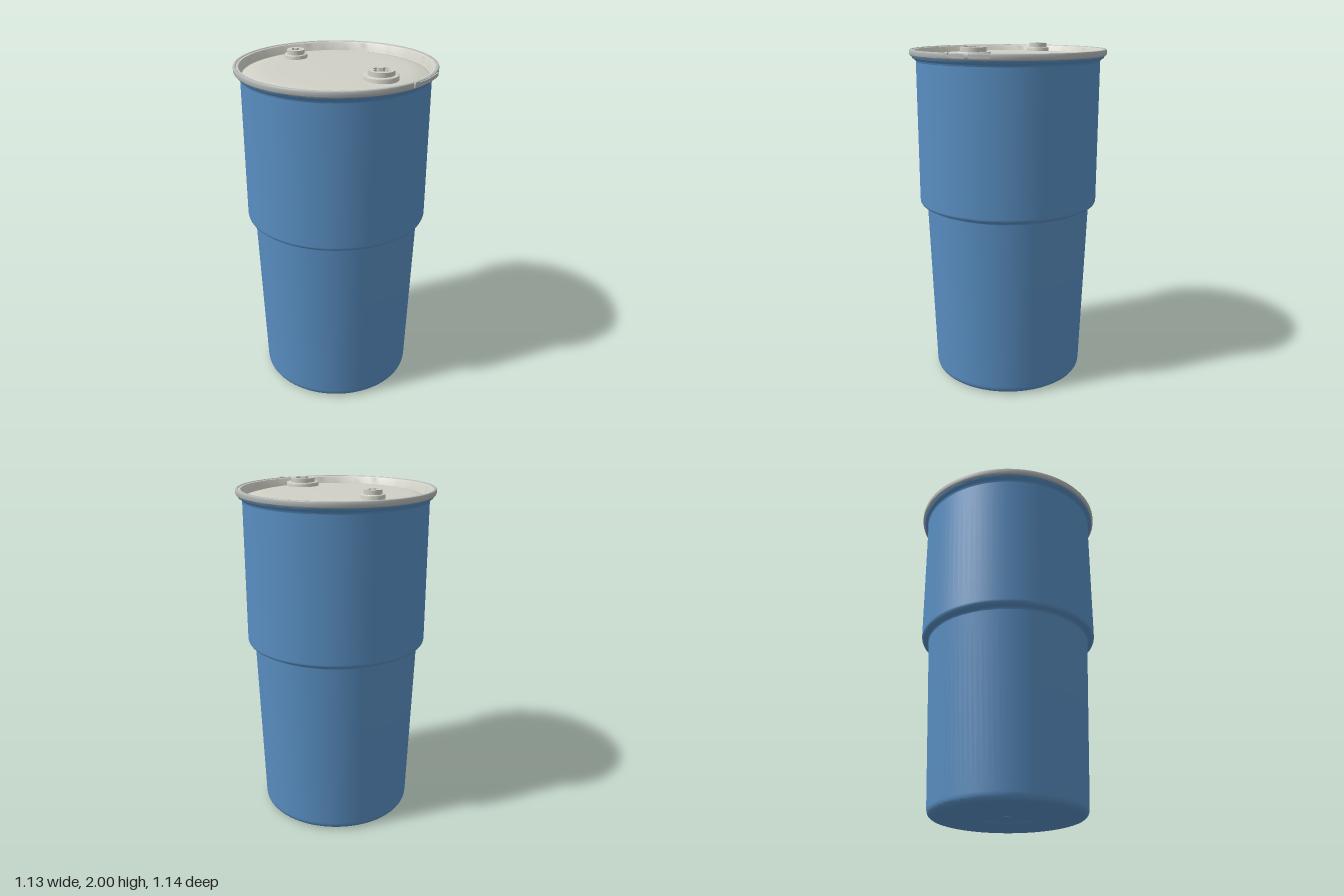
import * as THREE from 'three';
import { toCreasedNormals } from 'three/addons/utils/BufferGeometryUtils.js';

const CENTRE_Z = -0.004;
const blue = new THREE.MeshStandardMaterial({ color: 0x5a90c4 });
const lidGrey = new THREE.MeshStandardMaterial({ color: 0xd0d0c6 });
const steel = new THREE.MeshStandardMaterial({ color: 0xb4b9b7 });

// Turn [radius, y, fillet] corners into a profile with rounded corners.
function roundedProfile(corners) {
  const pts = corners.map(([r, y]) => new THREE.Vector2(r, y));
  const out = [];
  corners.forEach(([, , fillet = 0], i) => {
    const p = pts[i];
    if (!fillet) { out.push(p); return; }
    const toward = (q) => p.clone().add(q.clone().sub(p).setLength(Math.min(fillet, q.distanceTo(p) * 0.49)));
    out.push(...new THREE.QuadraticBezierCurve(toward(pts[i - 1]), p, toward(pts[i + 1])).getPoints(6));
  });
  return out;
}

function mesh(name, geometry, material) {
  const m = new THREE.Mesh(toCreasedNormals(geometry, 0.6), material);
  m.name = name;
  return m;
}

function turned(name, corners, material, segments = 96) {
  return mesh(name, new THREE.LatheGeometry(roundedProfile(corners), segments), material);
}

// Extrude a plan shape upwards from y (plan +y points to the back).
function raised(name, shape, y, height, material, bevel = 0) {
  const g = new THREE.ExtrudeGeometry(shape, {
    depth: height - 2 * bevel, curveSegments: 24, bevelEnabled: bevel > 0,
    bevelSize: bevel, bevelThickness: bevel, bevelOffset: -bevel, bevelSegments: 2,
  });
  g.rotateX(-Math.PI / 2).translate(0, y + bevel, 0);
  return mesh(name, g, material);
}

// Cross-shaped key socket with a round middle.
function crossPath(length, halfWidth, coreRadius) {
  const path = new THREE.Path();
  const inset = Math.asin(halfWidth / coreRadius);
  for (let i = 0; i < 4; i++) {
    const a = i * Math.PI / 2;
    const at = (u, v) => [u * Math.cos(a) - v * Math.sin(a), u * Math.sin(a) + v * Math.cos(a)];
    if (i === 0) path.moveTo(...at(length, -halfWidth));
    else path.lineTo(...at(length, -halfWidth));
    path.lineTo(...at(length, halfWidth));
    path.absarc(0, 0, coreRadius, a + inset, a + Math.PI / 2 - inset, false);
  }
  path.closePath();
  return path;
}

// Screw plug: wide collar, raised cap and key socket.
function plug(name, z, collarRadius, capRadius, socket) {
  const g = new THREE.Group();
  g.name = name;
  g.position.z = z;
  g.add(turned('plugCollar', [
    [collarRadius, 1.93], [collarRadius, 1.975, 0.005], [0, 1.975],
  ], lidGrey, 48));
  const cap = new THREE.Shape().absarc(0, 0, capRadius, 0, Math.PI * 2, false);
  cap.holes.push(crossPath(...socket));
  g.add(raised('plugCap', cap, 1.974, 0.026, lidGrey));
  return g;
}

// Curved strip that hugs the ring between two angles from the front.
function arcStrip(r0, r1, from, to) {
  const a = from - Math.PI / 2, b = to - Math.PI / 2;
  const s = new THREE.Shape();
  s.absarc(0, 0, r1, a, b, false);
  s.absarc(0, 0, r0, b, a, true);
  s.closePath();
  return s;
}

export function createModel() {
  const model = new THREE.Group();
  model.name = 'drum';
  const drum = new THREE.Group();
  drum.name = 'drumAssembly';
  drum.position.z = CENTRE_Z;
  model.add(drum);

  // Tapered lower body, straight upper body and flared neck
  drum.add(turned('body', [
    [0, 0.008], [0.018, 0.008], [0.02, 0.012], [0.155, 0.012], [0.16, 0.007],
    [0.30, 0.007, 0.02], [0.35, 0, 0.02],
    [0.452, 0, 0.045], [0.489, 1.07, 0.012], [0.531, 1.078, 0.022],
    [0.531, 1.918, 0.01], [0.553, 1.932, 0.008], [0.558, 1.95], [0.54, 1.955],
  ], blue));

  // Recessed lid with a gently domed floor
  drum.add(turned('lid', [
    [0.555, 1.95], [0.555, 1.976, 0.005], [0.536, 1.976, 0.006], [0.524, 1.922, 0.008],
    [0.508, 1.93, 0.008], [0.44, 1.948, 0.05], [0.32, 1.953, 0.05], [0, 1.955],
  ], lidGrey));

  // Clamping ring around the rim
  drum.add(turned('lockingRing', [
    [0.535, 1.946], [0.561, 1.943, 0.004], [0.567, 1.952, 0.004],
    [0.567, 1.979, 0.006], [0.55, 1.979, 0.003], [0.549, 1.97],
  ], steel));

  // Lever clasp at the front of the ring
  const clasp = new THREE.Group();
  clasp.name = 'ringClasp';
  clasp.add(raised('claspLever', arcStrip(0.566, 0.575, 0.0, 0.44), 1.955, 0.02, steel));
  clasp.add(raised('claspHinge', arcStrip(0.564, 0.577, -0.03, 0.03), 1.951, 0.03, steel, 0.002));
  clasp.add(raised('claspLatch', arcStrip(0.564, 0.577, 0.2, 0.24), 1.953, 0.024, steel, 0.002));
  drum.add(clasp);

  // Large front and small back plugs
  drum.add(plug('largePlug', 0.334, 0.095, 0.072, [0.05, 0.018, 0.036]));
  drum.add(plug('smallPlug', -0.328, 0.066, 0.051, [0.03, 0.011, 0.02]));

  return model;
}
